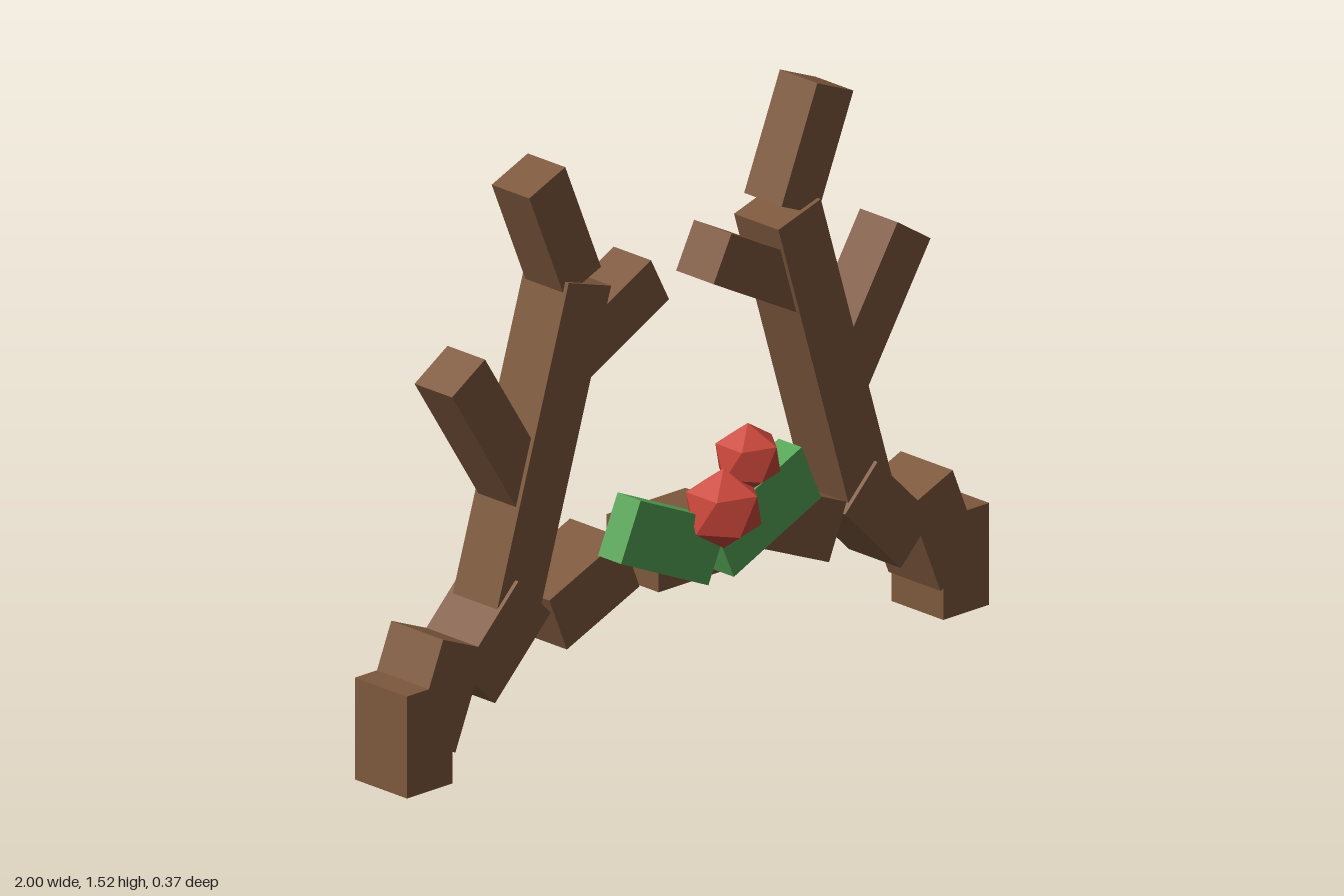
import * as THREE from 'three';

export function createModel() {
  const group = new THREE.Group();
  const mat = (name, color) => {
    const m = new THREE.MeshStandardMaterial({ color, flatShading: true });
    m.name = name;
    return m;
  };
  const brown = mat('wood brown', 0x7d583d);
  const green = mat('leaf green', 0x56a456);
  const red = mat('berry red', 0xc8453a);

  // Box turned in the front plane; the angle is in degrees
  const slab = (name, material, [w, h, d], [x, y, z], angle) => {
    const mesh = new THREE.Mesh(new THREE.BoxGeometry(w, h, d), material);
    mesh.name = name;
    mesh.position.set(x, y, z);
    mesh.rotation.z = THREE.MathUtils.degToRad(angle);
    group.add(mesh);
  };

  const zBand = -0.094;
  const band = [0.157, 0.27, 0.187];
  const tine = (length) => [0.134, length, 0.135];

  // Crown of the headband
  slab('bandTop', brown, band, [0, 0.403, zBand], 90);

  for (const s of [1, -1]) {
    const side = s > 0 ? 'left' : 'right';
    const add = (name, material, size, [x, y, z], angle) =>
      slab(side + name, material, size, [s * x, y, z], s * angle);

    // Headband segments, from the end up to the crown
    [[0.92, 0.135, 0], [0.853, 0.234, 22.5], [0.656, 0.326, 45], [0.355, 0.378, 67.5]]
      .forEach(([x, y, a], i) => add('BandSegment' + (i + 1), brown, band, [x, y, zBand], a));

    // Antler beam and its three tines
    add('AntlerBeam', brown, [0.152, 0.85, 0.16], [0.484, 0.789, zBand + 0.002], 17);
    add('TopTine', brown, tine(0.32), [0.433, 1.348, zBand + 0.002], -22.5);
    add('OuterTine', brown, tine(0.42), [0.652, 0.869, zBand + 0.002], -32.3);
    add('InnerTine', brown, tine(0.38), [0.276, 1.052, zBand + 0.002], 62.6);

    // Leaf
    add('Leaf', green, [0.328, 0.165, 0.083], [0.16, 0.484, 0.0415], 24);
  }

  // Berries, each standing on a point
  const berry = (name, r, x, y, z) => {
    const mesh = new THREE.Mesh(new THREE.IcosahedronGeometry(r, 0), red);
    mesh.name = name;
    mesh.position.set(x, y, z);
    mesh.rotation.z = -Math.atan(2 / (1 + Math.sqrt(5)));
    group.add(mesh);
  };
  berry('lowerBerry', 0.106, -0.002, 0.539, 0.094);
  berry('upperBerry', 0.091, 0.08, 0.653, 0.095);

  return group;
}
